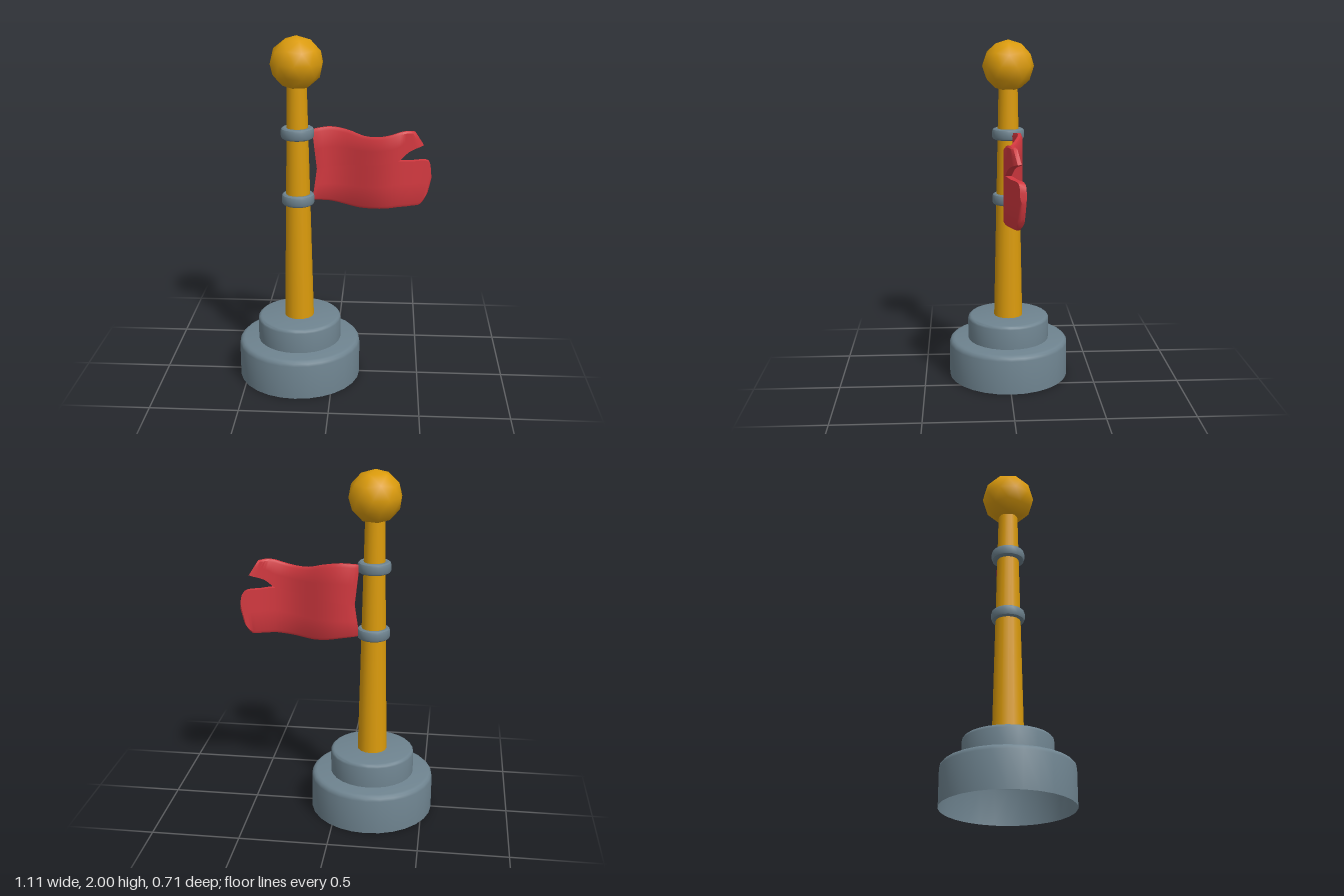
import * as THREE from 'three';
import { toCreasedNormals } from 'three/addons/utils/BufferGeometryUtils.js';

const POLE_X = -0.2;

// Turned part with a soft crease threshold
function turned(points, sides) {
  const profile = points.map(([r, y]) => new THREE.Vector2(r, y));
  return toCreasedNormals(new THREE.LatheGeometry(profile, sides), 0.6);
}

// Stepped drum: open below, rounded top edge, closed top
function drum(radius, y0, y1, bevel, sides) {
  const points = [[radius, y0]];
  for (let i = 0; i <= 3; i++) {
    const a = (i / 3) * Math.PI / 2;
    points.push([radius - bevel * (1 - Math.cos(a)), y1 - bevel * (1 - Math.sin(a))]);
  }
  points.push([0, y1]);
  return turned(points, sides);
}

// Depth of the waving cloth at a given x
const wave = (x) => -0.01 - 0.043 * Math.cos((2 * Math.PI * (x + 0.005)) / 0.63);

// Closed strip of cloth between a lower and an upper edge;
// section holds [fraction up the strip, thickness factor]
function clothStrip(low, high, section, steps = 30) {
  const curve = (pts) => new THREE.CatmullRomCurve3(pts.map(([x, y]) => new THREE.Vector3(x, y, 0)));
  const lowCurve = curve(low), highCurve = curve(high);
  const half = 0.017, positions = [], index = [];
  const loop = [
    ...section.map(([v, w]) => [v, w]),
    ...section.slice().reverse().map(([v, w]) => [v, -w]),
  ];
  const n = loop.length;
  for (let i = 0; i <= steps; i++) {
    const a = lowCurve.getPoint(i / steps), b = highCurve.getPoint(i / steps);
    const thin = i === 0 || i === steps ? 0.6 : 1;
    for (const [v, w] of loop) {
      const p = a.clone().lerp(b, v);
      positions.push(p.x, p.y, wave(p.x) + half * w * thin);
    }
  }
  for (let i = 0; i < steps; i++) {
    for (let k = 0; k < n; k++) {
      const a = i * n + k, d = i * n + ((k + 1) % n);
      index.push(a, a + n, d + n, a, d + n, d);
    }
  }
  const end = steps * n;
  for (let k = 1; k < n - 1; k++) {
    index.push(0, k, k + 1, end, end + k + 1, end + k);
  }
  const geometry = new THREE.BufferGeometry();
  geometry.setAttribute('position', new THREE.Float32BufferAttribute(positions, 3));
  geometry.setIndex(index);
  return toCreasedNormals(geometry, 0.7);
}

export function createModel() {
  const model = new THREE.Group();
  model.name = 'flagpole';

  const gold = new THREE.MeshStandardMaterial({ color: 0xdb9b0b });
  gold.name = 'gold';
  const stone = new THREE.MeshStandardMaterial({ color: 0x6e838f, side: THREE.DoubleSide });
  stone.name = 'slate grey';
  const red = new THREE.MeshStandardMaterial({ color: 0xd2383f });
  red.name = 'flag red';

  const add = (name, geometry, material, x = 0, y = 0, parent = model) => {
    const mesh = new THREE.Mesh(geometry, material);
    mesh.name = name;
    mesh.position.set(x, y, 0);
    parent.add(mesh);
    return mesh;
  };

  // Two-step base, hollow underneath
  add('lowerBase', drum(0.355, 0, 0.23, 0.03, 28), stone, POLE_X);
  add('upperBase', drum(0.242, 0.23, 0.37, 0.02, 28), stone, POLE_X);

  // Tapered pole
  add('pole', new THREE.CylinderGeometry(0.054, 0.085, 1.41, 16, 1, true), gold, POLE_X, 1.065);

  // Faceted ball with one corner straight up
  const ball = new THREE.IcosahedronGeometry(0.148, 1);
  ball.rotateZ(-Math.atan(2 / (1 + Math.sqrt(5))));
  add('ball', ball, gold, POLE_X, 1.852);

  // Collars that hold the flag
  const collar = turned([
    [0.058, -0.03], [0.08, -0.032], [0.089, -0.026], [0.093, -0.015],
    [0.093, 0.015], [0.089, 0.026], [0.08, 0.032], [0.058, 0.03],
  ], 20);
  for (const [name, y] of [['upperCollar', 1.465], ['lowerCollar', 1.083]]) {
    add(name, collar, stone, POLE_X, y);
  }

  // Waving flag: two strips sharing a seam that opens into a notch
  const flag = new THREE.Group();
  flag.name = 'flag';
  model.add(flag);
  const seam = [[-0.095, 1.25], [-0.01, 1.265], [0.07, 1.275], [0.15, 1.285],
    [0.24, 1.295], [0.32, 1.31], [0.36, 1.32]];
  const bottom = [[-0.12, 1.07], [-0.02, 1.06], [0.06, 1.045], [0.14, 1.035],
    [0.24, 1.04], [0.32, 1.048], [0.36, 1.053], [0.44, 1.055], [0.49, 1.06], [0.53, 1.12]];
  const top = [[-0.12, 1.48], [-0.02, 1.49], [0.08, 1.475], [0.17, 1.45],
    [0.25, 1.45], [0.32, 1.465], [0.36, 1.478], [0.4, 1.485], [0.45, 1.48]];
  const lowerSeam = [...seam, [0.44, 1.315], [0.53, 1.305], [0.55, 1.21]];
  const upperSeam = [...seam, [0.42, 1.37], [0.5, 1.4]];
  add('lowerFlag', clothStrip(bottom, lowerSeam, [[0, 0.5], [0.06, 1], [0.5, 1], [1, 1]], 36), red, 0, 0, flag);
  add('upperFlag', clothStrip(upperSeam, top, [[0, 1], [0.5, 1], [0.92, 1], [1, 0.5]], 32), red, 0, 0, flag);

  return model;
}
